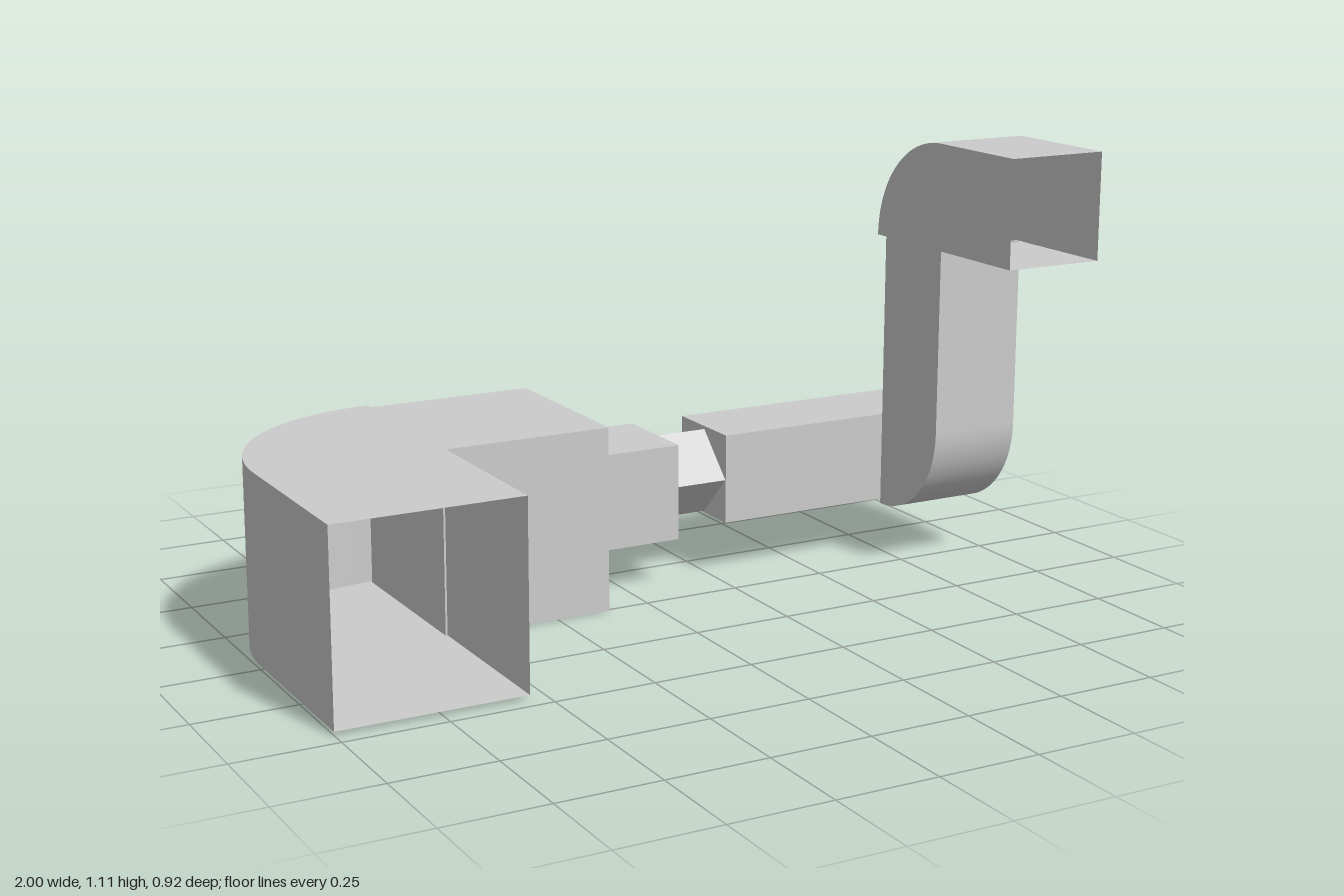
import * as THREE from 'three';

const solid = new THREE.MeshStandardMaterial({ color: 0xcccccc });
const sheet = new THREE.MeshStandardMaterial({ color: 0xcccccc, side: THREE.DoubleSide });

// Box given by its extents on each axis
function box(name, [x0, x1], [y0, y1], [z0, z1]) {
  const mesh = new THREE.Mesh(new THREE.BoxGeometry(x1 - x0, y1 - y0, z1 - z0), solid);
  mesh.name = name;
  mesh.position.set((x0 + x1) / 2, (y0 + y1) / 2, (z0 + z1) / 2);
  return mesh;
}

// Wall of the given width standing on a path in the local xz plane
function wall(name, path, width) {
  const geo = new THREE.PlaneGeometry(1, width, path.length - 1, 1);
  const pos = geo.attributes.position;
  for (let i = 0; i < pos.count; i++) {
    const p = path[i % path.length];
    pos.setXYZ(i, p.x, pos.getY(i), p.y);
  }
  geo.computeVertexNormals();
  const mesh = new THREE.Mesh(geo, sheet);
  mesh.name = name;
  return mesh;
}

// Hollow rectangular elbow: a straight run along local +z, then a quarter bend
// about the local origin with a sharp inner corner; both ends are open
function elbow(name, radius, run, width) {
  const group = new THREE.Group();
  group.name = name;
  const outer = [new THREE.Vector2(-radius, run)];
  const steps = 32;
  for (let i = 0; i <= steps; i++) {
    const a = (i / steps) * Math.PI / 2;
    outer.push(new THREE.Vector2(-radius * Math.cos(a), -radius * Math.sin(a)));
  }
  const inner = [new THREE.Vector2(0, 0), new THREE.Vector2(0, run)];
  group.add(wall('outerWall', outer, width), wall('innerWall', inner, width));

  const sideGeo = new THREE.ShapeGeometry(new THREE.Shape([...outer, ...inner])).rotateX(Math.PI / 2);
  for (const s of [-1, 1]) {
    const side = new THREE.Mesh(sideGeo, sheet);
    side.name = 'sideWall';
    side.position.y = s * width / 2;
    group.add(side);
  }
  return group;
}

// Turn a group so its local axes point along the given directions
function orient(group, x, y, z) {
  group.quaternion.setFromRotationMatrix(new THREE.Matrix4().makeBasis(
    new THREE.Vector3(...x), new THREE.Vector3(...y), new THREE.Vector3(...z)));
}

export function createModel() {
  const model = new THREE.Group();
  model.name = 'ductAssembly';

  // Wide duct, open to the front
  const wide = elbow('wideElbow', 0.46, 0.455, 0.457);
  wide.position.set(-0.54, 0.237, 0.002);
  model.add(wide);

  // Row of boxes along the back
  model.add(
    box('mainHousing', [-0.545, -0.11], [0, 0.462], [-0.45, 0.008]),
    box('collar', [-0.11, 0.137], [0.12, 0.364], [-0.336, -0.09]),
    box('crossBar', [0.28, 1], [0.139, 0.368], [-0.33, -0.102]),
  );

  // Square coupling set on its corner
  const coupling = box('coupling', [0.13, 0.29], [0.174, 0.328], [-0.29, -0.136]);
  coupling.rotation.x = Math.PI / 4;
  model.add(coupling);

  // Riser: bends forward out of the bar and runs up
  const riser = elbow('riser', 0.243, 0.477, 0.24);
  orient(riser, [0, 0, -1], [-1, 0, 0], [0, 1, 0]);
  riser.position.set(0.869, 0.37, -0.1);
  model.add(riser);

  // Outlet: bends from the riser to the open front
  const outlet = elbow('outletElbow', 0.265, 0.295, 0.26);
  orient(outlet, [0, -1, 0], [1, 0, 0], [0, 0, 1]);
  outlet.position.set(0.855, 0.845, 0.163);
  model.add(outlet);

  return model;
}
